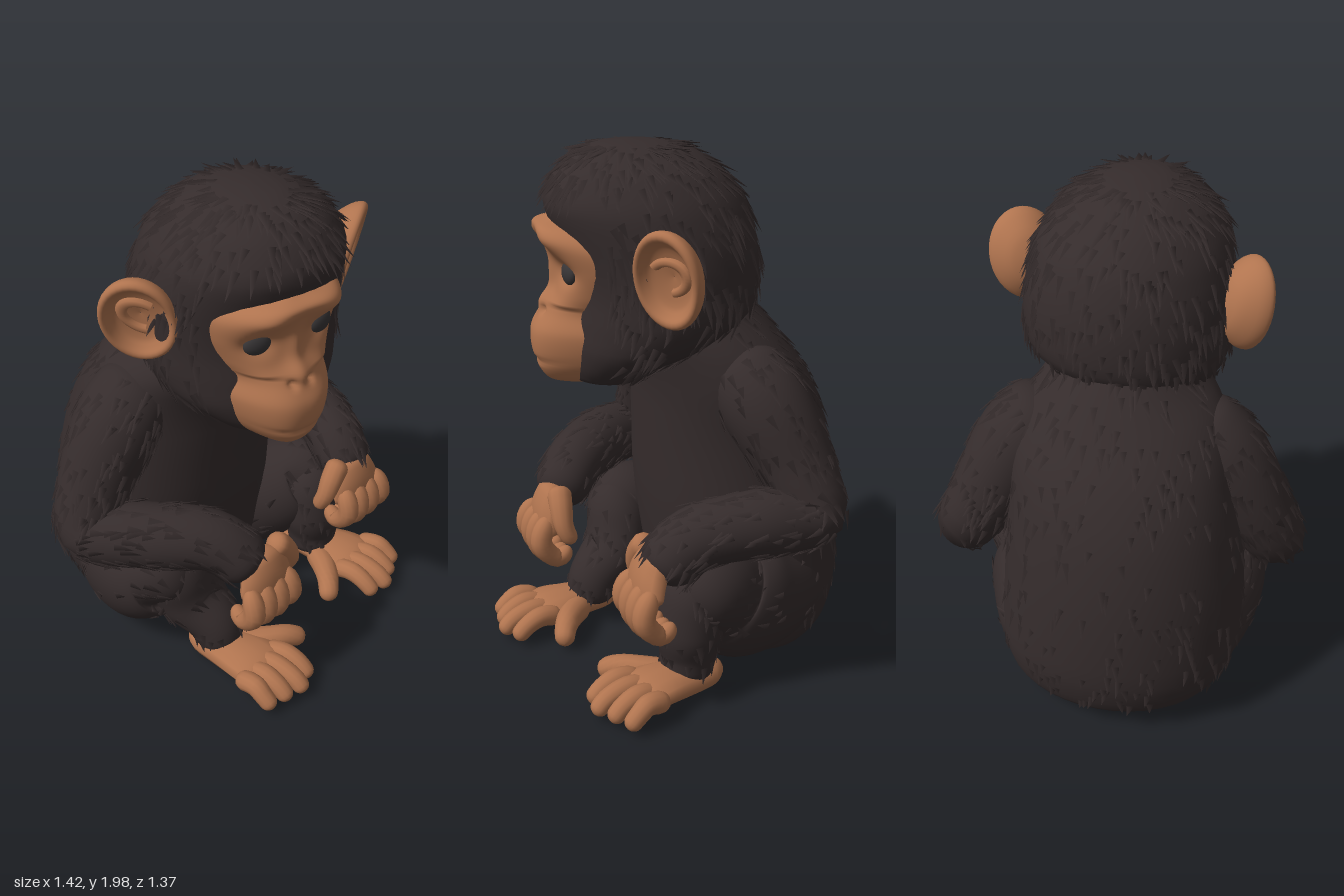
import * as THREE from 'three';
import { mergeGeometries } from 'three/addons/utils/BufferGeometryUtils.js';

const V = (x, y, z) => new THREE.Vector3(x, y, z);
const material = (name, color) => {
  const m = new THREE.MeshStandardMaterial({ color });
  m.name = name;
  return m;
};

let seed = 7;
const rand = () => (seed = (seed * 16807) % 2147483647) / 2147483647;

// Grid of points to a smooth surface; closed grids wrap around in j
function gridGeometry(rows, cols, closed, at) {
  const pos = [], idx = [], n = closed ? cols : cols + 1;
  for (let i = 0; i <= rows; i++)
    for (let j = 0; j < n; j++) pos.push(...at(i / rows, j / cols).toArray());
  for (let i = 0; i < rows; i++)
    for (let j = 0; j < cols; j++) {
      const a = i * n + j, b = i * n + (j + 1) % n;
      idx.push(a, b, a + n, b, b + n, a + n);
    }
  const g = new THREE.BufferGeometry();
  g.setAttribute('position', new THREE.Float32BufferAttribute(pos, 3));
  g.setIndex(idx);
  g.computeVertexNormals();
  return g;
}

// Rounded body through sections [x, y, z, radiusU, radiusV]; flat keeps sections level
function loftSurface(sections, { flat = false, cap = 0.15 } = {}) {
  const path = new THREE.CatmullRomCurve3(sections.map(s => V(s[0], s[1], s[2])));
  const size = new THREE.CatmullRomCurve3(sections.map(s => V(s[3], s[4] ?? s[3], 0)));
  const down = Math.sign(sections.at(-1)[1] - sections[0][1]);
  return (s, a) => {
    const t = flat ? V(0, down, 0) : path.getTangent(s);
    const u = V(1, 0, 0).addScaledVector(t, -t.x).normalize();
    const v = t.clone().cross(u);
    const e = Math.min(1, Math.min(s, 1 - s) / cap);
    const k = Math.max(0.002, Math.sqrt(1 - (1 - e) ** 2));
    const r = size.getPoint(s), ang = a * Math.PI * 2;
    return path.getPoint(s).addScaledVector(u, Math.cos(ang) * r.x * k)
      .addScaledVector(v, Math.sin(ang) * r.y * k);
  };
}

const ease = s => 0.5 - 0.5 * Math.cos(Math.PI * s);
const loft = (surface, rows, cols) =>
  gridGeometry(rows, cols, true, (s, a) => surface(ease(s), a));

// Pointed tufts lying along a lofted surface, combed towards its end
function tufts(surface, count, length, keep = () => true) {
  const parts = [];
  for (let i = 0; i < count; i++) {
    const s = 0.06 + rand() * 0.88, a = rand(), l = length * (0.6 + rand() * 0.7);
    const p = surface(s, a);
    if (!keep(p)) continue;
    const flow = surface(s + 0.01, a).sub(p).normalize();
    const around = surface(s, a + 0.01).sub(p).normalize();
    const out = around.clone().cross(flow).normalize();
    const dir = flow.addScaledVector(out, 0.18).addScaledVector(around, (rand() - 0.5) * 0.5).normalize();
    const side = out.clone().cross(dir).normalize();
    const frame = new THREE.Matrix4().makeBasis(side, dir, side.clone().cross(dir));
    frame.setPosition(p.addScaledVector(dir, l * 0.4));
    parts.push(new THREE.ConeGeometry(0.017, l, 3, 1, true).scale(1, 1, 0.5).applyMatrix4(frame));
  }
  return mergeGeometries(parts);
}

export function createModel() {
  const model = new THREE.Group();
  const fur = material('dark fur', 0x352c2c);
  const skin = material('tan skin', 0xb0744f);
  const eyeGrey = material('eye grey', 0x383536);

  const add = (parent, name, geometry, mat) => {
    const m = new THREE.Mesh(geometry, mat);
    m.name = name;
    parent.add(m);
    return m;
  };
  const group = (parent, name) => {
    const g = new THREE.Group();
    g.name = name;
    parent.add(g);
    return g;
  };
  const furry = (parent, name, sections, opts, count, length, keep) => {
    const surface = loftSurface(sections, opts);
    add(parent, name, loft(surface, 44, 40), fur);
    add(parent, name + 'Tufts', tufts(surface, count, length, keep), fur);
  };
  const limb = (parent, name, sections, opts) =>
    add(parent, name, loft(loftSurface(sections, opts), 20, 12), skin);

  // Torso, from neck down to seat
  furry(model, 'torso', [
    [0, 1.5, 0.02, 0.2, 0.21], [0, 1.37, -0.04, 0.26, 0.265], [-0.01, 1.24, -0.12, 0.36, 0.29],
    [-0.01, 1.1, -0.19, 0.41, 0.325], [-0.03, 0.9, -0.24, 0.43, 0.365], [-0.04, 0.6, -0.275, 0.46, 0.385],
    [-0.03, 0.3, -0.3, 0.47, 0.37], [-0.01, 0.12, -0.3, 0.43, 0.325], [0, 0.035, -0.28, 0.37, 0.27], [0, 0.012, -0.27, 0.29, 0.22],
  ], { flat: true, cap: 0.05 }, 650, 0.07, p => p.z < -0.1 && p.y > 0.15);

  // Legs and feet
  const legs = {
    left: { s: 1, knee: [0.45, 0.42, 0.06], mid: [0.44, 0.28, 0.13], ankle: [0.44, 0.08, 0.13], heel: [0.43, 0, 0.02], turn: 0.2 },
    right: { s: -1, knee: [-0.37, 0.42, 0.08], mid: [-0.28, 0.28, 0.14], ankle: [-0.24, 0.08, 0.25], heel: [-0.27, 0, 0.175], turn: 0.17 },
  };
  for (const [side, { s, knee, mid, ankle, heel, turn }] of Object.entries(legs)) {
    const leg = group(model, side + 'Leg');
    furry(leg, 'thigh', [
      [s * 0.1, 0.3, -0.5, 0.12, 0.16], [s * 0.24, 0.28, -0.3, 0.22, 0.24], [s * 0.33, 0.3, -0.14, 0.21, 0.26],
      [s * 0.38, 0.36, -0.02, 0.18, 0.21], [...knee, 0.155, 0.165], [knee[0], 0.41, knee[2] + 0.14, 0.12, 0.13],
    ], { cap: 0.2 }, 110, 0.06, p => p.y > 0.2);
    furry(leg, 'shin', [
      [knee[0], 0.54, knee[2] + 0.02, 0.13], [...mid, 0.135, 0.125],
      [ankle[0], 0.16, ankle[2], 0.105], [ankle[0], 0.05, ankle[2] + 0.02, 0.095],
    ], { cap: 0.2 }, 90, 0.055, p => p.y > 0.12);

    const foot = group(leg, side + 'Foot');
    foot.position.set(...heel);
    foot.rotation.y = turn;
    limb(foot, 'sole', [[0, 0.065, -0.03, 0.07, 0.055], [0, 0.07, 0.12, 0.09, 0.06],
      [0, 0.085, 0.27, 0.12, 0.055], [s * 0.01, 0.075, 0.38, 0.12, 0.045]], { cap: 0.2 });
    for (let i = 0; i < 4; i++) {
      const x = s * (i * 0.062 - 0.085), z = 0.51 - Math.abs(i - 1) * 0.025;
      limb(foot, 'toe', [[x, 0.075, 0.28, 0.042], [x * 1.1, 0.1, 0.37, 0.04],
        [x * 1.15, 0.08, z - 0.05, 0.037], [x * 1.15, 0.037, z, 0.033]]);
    }
    limb(foot, 'bigToe', [[-s * 0.04, 0.065, 0.15, 0.055], [-s * 0.12, 0.08, 0.25, 0.052],
      [-s * 0.19, 0.08, 0.31, 0.044], [-s * 0.25, 0.045, 0.35, 0.038]]);
  }

  // Arms and hands
  const arms = {
    left: { s: 1, wrist: [0.48, 0.6, 0.25], path: [[0.22, 1.22, -0.14, 0.13], [0.36, 1.07, -0.2, 0.165],
      [0.48, 0.85, -0.28, 0.14], [0.565, 0.7, -0.3, 0.12], [0.555, 0.7, -0.06, 0.12], [0.51, 0.66, 0.15, 0.115], [0.485, 0.53, 0.28, 0.105]] },
    right: { s: -1, wrist: [-0.18, 0.61, 0.4], path: [[-0.22, 1.22, -0.11, 0.13], [-0.37, 1.06, -0.12, 0.165],
      [-0.51, 0.82, -0.12, 0.14], [-0.58, 0.67, -0.08, 0.12], [-0.45, 0.68, 0.12, 0.125], [-0.29, 0.67, 0.3, 0.115], [-0.19, 0.55, 0.43, 0.105]] },
  };
  for (const [side, { s, wrist, path }] of Object.entries(arms)) {
    const arm = group(model, side + 'Arm');
    furry(arm, 'armFur', path, { cap: 0.08 }, 360, 0.07);

    const hand = group(arm, side + 'Hand');
    hand.position.set(...wrist);
    limb(hand, 'palm', [[0, 0.03, 0.01, 0.08, 0.06], [0, -0.06, 0.055, 0.115, 0.055],
      [s * 0.01, -0.16, 0.075, 0.135, 0.045]], { cap: 0.25 });
    for (let i = 0; i < 4; i++) {
      const x = s * (i * 0.064 - 0.085), d = Math.abs(i - 1.4) * 0.015;
      limb(hand, 'finger', [[x * 0.9, -0.07, 0.075, 0.04], [x, -0.16, 0.115, 0.042],
        [x, -0.23 + d, 0.1, 0.04], [x * 0.95, -0.275 + d, 0.045, 0.036], [x * 0.9, -0.24 + d, -0.005, 0.031]]);
    }
    limb(hand, 'thumb', [[-s * 0.06, 0.04, 0.03, 0.048], [-s * 0.115, -0.02, 0.04, 0.045],
      [-s * 0.15, -0.09, 0.04, 0.037], [-s * 0.16, -0.16, 0.01, 0.03]]);
  }

  // Head, turned a little to its right
  const head = group(model, 'head');
  head.position.set(0.02, 0, 0.08);
  head.rotation.y = -0.18;
  const inner = group(head, 'headParts');
  inner.position.z = -0.08;
  furry(inner, 'headFur', [
    [0, 1.985, 0.17, 0.06, 0.07], [0, 1.955, 0.155, 0.165, 0.19], [0, 1.89, 0.14, 0.265, 0.285], [0, 1.78, 0.12, 0.34, 0.36],
    [0, 1.66, 0.08, 0.37, 0.36], [0, 1.53, 0.055, 0.38, 0.35], [0, 1.4, 0.065, 0.375, 0.345],
    [0, 1.28, 0.14, 0.33, 0.285], [0, 1.19, 0.23, 0.235, 0.19], [0, 1.12, 0.27, 0.15, 0.13],
  ], { flat: true, cap: 0.04 }, 850, 0.085,
  p => !(p.z > 0.26 && Math.abs(p.x) < 0.28 && p.y < 1.82) && !(p.y < 1.25 && p.z > 0.3));

  // Face: rows of [height, half width, centre depth, edge depth]
  const rows = [[1.11, 0.03, 0.43, 0.36], [1.14, 0.11, 0.49, 0.36], [1.22, 0.18, 0.53, 0.34],
    [1.32, 0.2, 0.535, 0.35], [1.4, 0.18, 0.49, 0.35], [1.47, 0.215, 0.45, 0.33], [1.56, 0.25, 0.45, 0.32],
    [1.64, 0.25, 0.485, 0.33], [1.695, 0.19, 0.51, 0.37], [1.725, 0.08, 0.46, 0.4]];
  const front = new THREE.CatmullRomCurve3(rows.map(r => V(r[1], r[0], r[2])));
  const edge = new THREE.CatmullRomCurve3(rows.map(r => V(r[3], r[0], 0)));
  const bump = (x, y, cx, cy, sx, sy) => Math.exp(-(((x - cx) / sx) ** 2) - ((y - cy) / sy) ** 2);
  const face = add(inner, 'face', gridGeometry(70, 56, false, (s, a) => {
    const c = front.getPoint(s), ze = edge.getPoint(s).x, u = a * 2 - 1;
    const x = u * c.x, y = c.y, ax = Math.abs(x);
    let z = ze + (c.z - ze) * (1 - Math.abs(u) ** (y < 1.42 ? 2.6 : 4));
    z += 0.025 * bump(x, y, 0, 1.43, 0.055, 0.04) + 0.02 * bump(x, y, 0, 1.52, 0.03, 0.08);
    z += 0.015 * bump(ax, y, 0.12, 1.66, 0.08, 0.03) - 0.035 * bump(ax, y, 0.125, 1.55, 0.06, 0.045);
    z -= 0.02 * bump(ax, y, 0.035, 1.395, 0.016, 0.014);
    z -= 0.012 * bump(x, y, 0, 1.205 + 0.8 * x * x, 0.11, 0.011);
    return V(x, y, z);
  }), skin);
  face.position.x = -0.01;

  for (const s of [-1, 1]) {
    // Eye
    const eye = add(face, 'eye', new THREE.SphereGeometry(1, 20, 14).scale(0.05, 0.043, 0.024), eyeGrey);
    eye.position.set(s * 0.128, 1.548, 0.41);
    eye.rotation.y = s * 0.2;

    // Cupped ear with a thick rim
    const profile = [[0.001, -0.085], [0.07, -0.065], [0.12, -0.015], [0.137, 0.025], [0.13, 0.045],
      [0.115, 0.045], [0.1, 0.025], [0.075, 0.005], [0.001, -0.01]].map(p => new THREE.Vector2(...p));
    const ear = add(inner, s > 0 ? 'leftEar' : 'rightEar',
      new THREE.LatheGeometry(new THREE.SplineCurve(profile).getPoints(28), 36).rotateX(Math.PI / 2).scale(1, 1.3, 1), skin);
    ear.position.set(s * 0.42 + 0.01, 1.595, 0.115);
    ear.rotation.set(0.2, s * 0.7, -s * 0.1, 'YXZ');
    const fold = add(ear, 'earFold', new THREE.TorusGeometry(0.055, 0.016, 8, 20, Math.PI * 1.2).scale(1, 1.4, 1), skin);
    fold.position.set(-s * 0.01, 0, 0.005);
    fold.rotation.z = s > 0 ? -1.2 : 0.9;
  }
  return model;
}
